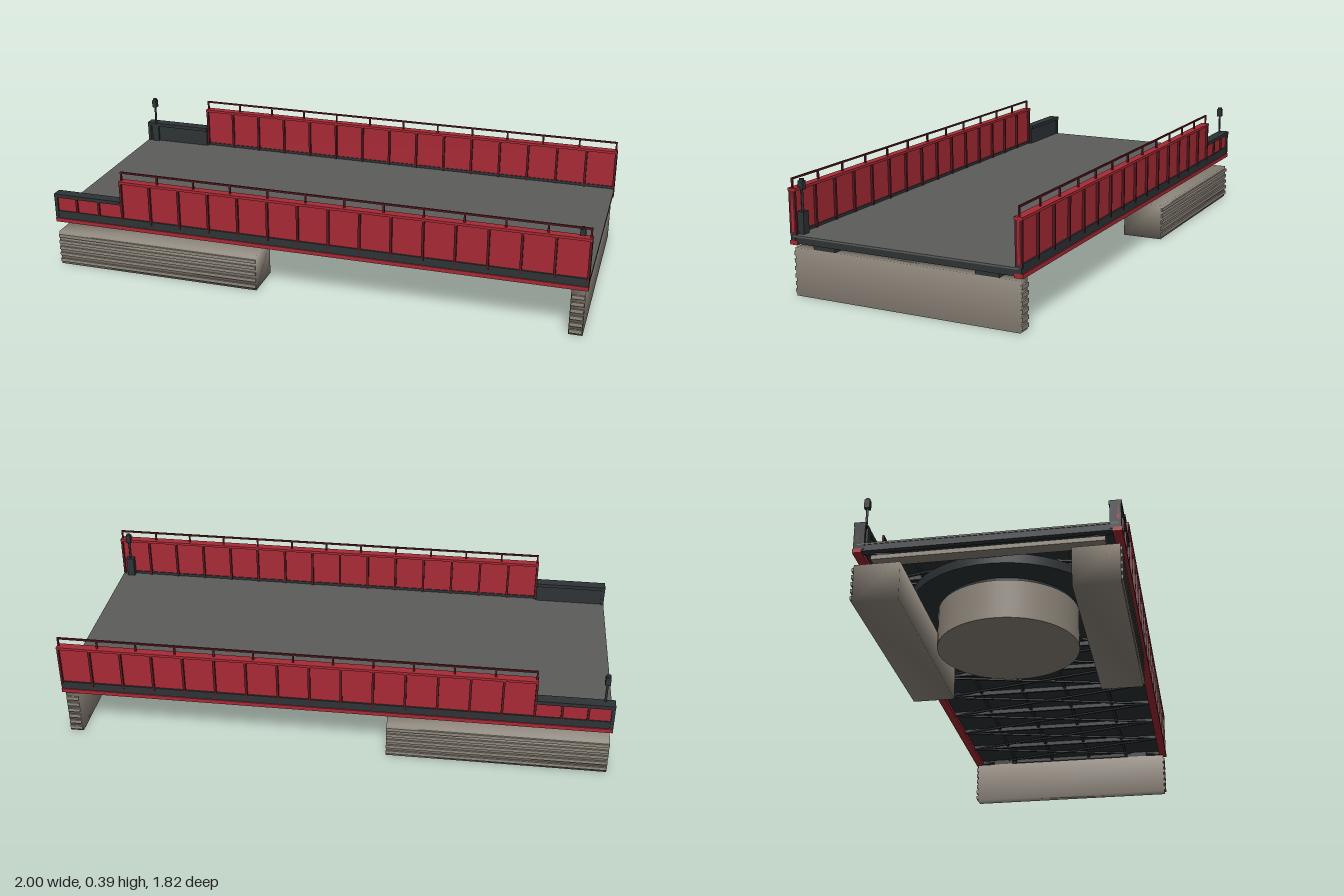
import * as THREE from 'three';
import { mergeVertices } from 'three/addons/utils/BufferGeometryUtils.js';

const mat = (color) => new THREE.MeshStandardMaterial({ color });

export function createModel() {
  const red = mat(0xa82a35), dark = mat(0x2e3335), deckGrey = mat(0x5c5c5a);
  const stone = mat(0x8f877c), steel = mat(0x5a1a20);
  const model = new THREE.Group();
  model.name = 'swingBridge';

  // The bridge lies diagonally: local x runs along it, local z across it
  const bridge = new THREE.Group();
  bridge.name = 'bridge';
  bridge.rotation.y = -0.665;
  model.add(bridge);

  const group = (name) => {
    const g = new THREE.Group();
    g.name = name;
    bridge.add(g);
    return g;
  };
  const add = (parent, name, geo, material) => {
    const m = new THREE.Mesh(geo, material);
    m.name = name;
    parent.add(m);
    return m;
  };
  // Box given by its limits on each axis
  const box = (parent, name, material, x0, x1, y0, y1, z0, z1) => {
    const m = add(parent, name, new THREE.BoxGeometry(x1 - x0, y1 - y0, z1 - z0), material);
    m.position.set((x0 + x1) / 2, (y0 + y1) / 2, (z0 + z1) / 2);
    return m;
  };
  // Box with shared corner normals, for softly shaded masonry
  const softBox = (parent, name, x0, x1, y0, y1, z0, z1) => {
    const m = box(parent, name, stone, x0, x1, y0, y1, z0, z1);
    m.geometry.deleteAttribute('normal');
    m.geometry.deleteAttribute('uv');
    m.geometry = mergeVertices(m.geometry);
    m.geometry.computeVertexNormals();
  };
  const cylinder = (parent, name, material, r, x, y0, y1, z, sides = 48) => {
    const m = add(parent, name, new THREE.CylinderGeometry(r, r, y1 - y0, sides), material);
    m.position.set(x, (y0 + y1) / 2, z);
  };

  const L = 0.948, W = 0.413, STEP = -0.69;

  // Roadway and its end beams
  const deck = group('deck');
  box(deck, 'roadSurface', deckGrey, -L, L, 0.196, 0.202, -0.4, 0.4);
  box(deck, 'deckUnderside', dark, -L + 0.002, L - 0.002, 0.189, 0.196, -0.4, 0.4);
  for (const s of [-1, 1]) {
    const x = s * (L - 0.012);
    box(deck, 'endBeam', dark, x - 0.01, x + 0.01, 0.175, 0.195, -0.4, 0.4);
  }

  // Floor framing: stringers, cross beams and diagonal bracing
  const framing = group('floorFraming');
  for (const z of [-0.24, -0.08, 0.08, 0.24])
    box(framing, 'stringer', dark, -L + 0.02, L - 0.02, 0.179, 0.19, z - 0.005, z + 0.005);
  const bays = 10, bay = (2 * L - 0.04) / bays;
  for (let i = 0; i < bays; i++) {
    const x = -L + 0.02 + i * bay;
    if (i) box(framing, 'crossBeam', dark, x - 0.005, x + 0.005, 0.174, 0.19, -0.39, 0.39);
    for (const s of [-1, 1]) {
      const brace = add(framing, 'diagonalBrace',
        new THREE.BoxGeometry(Math.hypot(bay, 0.78), 0.006, 0.008), dark);
      brace.position.set(x + bay / 2, 0.177, 0);
      brace.rotation.y = s * Math.atan2(0.78, bay);
    }
  }

  // Plate girders, mirrored on both sides of the deck
  for (const s of [-1, 1]) {
    const g = group(s > 0 ? 'frontGirder' : 'rearGirder');
    const side = (name, material, x0, x1, y0, y1, z0, z1) =>
      box(g, name, material, x0, x1, y0, y1, Math.min(s * z0, s * z1), Math.max(s * z0, s * z1));
    side('bottomFlange', red, -L, L, 0.17, 0.184, 0.384, W);
    side('lowerBand', dark, -L, L, 0.184, 0.212, 0.392, W - 0.004);
    side('web', red, STEP, L, 0.21, 0.348, 0.395, 0.403);
    side('topFlange', red, STEP, L, 0.345, 0.354, 0.384, W);
    // Stepped-down end with a dark coping
    side('lowWeb', red, -L, STEP, 0.21, 0.265, 0.398, 0.405);
    side('lowInnerPlate', dark, -L, STEP, 0.2, 0.266, 0.38, 0.398);
    side('lowCoping', dark, -L, STEP, 0.264, 0.277, 0.374, W);
    side('lowEndPost', dark, -L, -L + 0.012, 0.18, 0.27, 0.376, W - 0.002);
    for (let i = 1; i < 3; i++) {
      const x = -L + (i * (STEP + L)) / 3;
      side('lowStiffener', steel, x - 0.004, x + 0.004, 0.212, 0.264, 0.403, W - 0.002);
    }
    const panels = 15, pitch = (L - STEP - 0.008) / panels;
    for (let i = 0; i <= panels; i++) {
      const x = STEP + 0.004 + i * pitch;
      side('stiffener', steel, x - 0.004, x + 0.004, 0.2, 0.346, 0.387, W - 0.002);
    }
    // Handrail
    const posts = 12;
    for (let i = 0; i <= posts; i++) {
      const x = STEP + 0.006 + (i * (L - STEP - 0.012)) / posts;
      side('railPost', steel, x - 0.003, x + 0.003, 0.354, 0.384, 0.396, 0.402);
    }
    side('handrail', steel, STEP + 0.003, L - 0.003, 0.381, 0.387, 0.396, 0.402);

    // Signal post at diagonally opposite corners
    const signal = group('signalPost');
    const x = s * 0.914, z = s * 0.384;
    box(signal, 'signalBase', dark, x - 0.014, x + 0.014, 0.2, 0.275, z - 0.012, z + 0.012);
    cylinder(signal, 'signalMast', dark, 0.004, x, 0.27, 0.355, z, 10);
    box(signal, 'signalLamp', dark, x - 0.009, x + 0.009, 0.345, 0.374, z - 0.009, z + 0.009);
    cylinder(signal, 'signalCap', dark, 0.008, x, 0.374, 0.38, z, 12);

    // Guide wall below each side, with timber fenders outside
    const wall = group('guideWall');
    const near = s * 0.26, far = s * 0.405;
    softBox(wall, 'wallBody', -0.945, -0.19, 0, 0.128, Math.min(near, far), Math.max(near, far));
    for (let i = 0; i < 5; i++)
      box(wall, 'fender', stone, -0.945, -0.19, 0.01 + i * 0.024, 0.022 + i * 0.024,
        Math.min(far, s * 0.411), Math.max(far, s * 0.411));
  }

  // Pivot drum and turntable
  const pivot = group('pivot');
  cylinder(pivot, 'pivotDrum', stone, 0.23, -0.55, 0, 0.13, 0);
  cylinder(pivot, 'turntableNeck', dark, 0.225, -0.55, 0.13, 0.145, 0);
  cylinder(pivot, 'turntable', dark, 0.32, -0.55, 0.14, 0.172, 0);
  box(pivot, 'endSeat', stone, -0.925, -0.88, 0.155, 0.17, -0.36, 0.36);

  // End pier with layered ends and bearing blocks
  const pier = group('endPier');
  softBox(pier, 'pierBody', 0.893, 0.94, 0, 0.16, -0.4, 0.4);
  for (const s of [-1, 1]) {
    for (let i = 0; i < 6; i++)
      box(pier, 'pierFender', stone, 0.895, 0.938, 0.008 + i * 0.025, 0.021 + i * 0.025,
        s > 0 ? 0.4 : -0.406, s > 0 ? 0.406 : -0.4);
    box(pier, 'bearing', dark, 0.895, 0.938, 0.16, 0.18, s * 0.29 - 0.04, s * 0.29 + 0.04);
  }
  return model;
}
